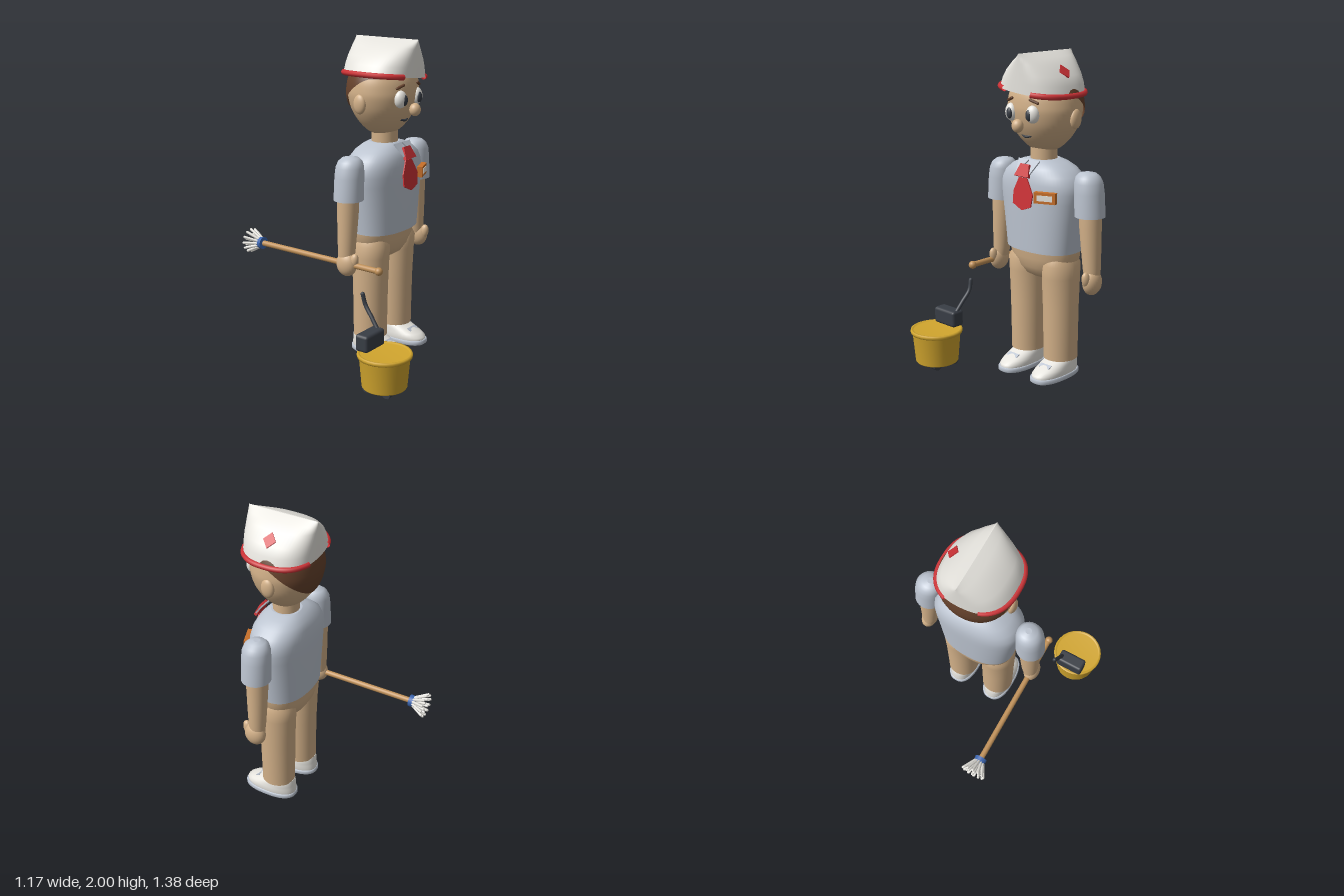
import * as THREE from 'three';
import { RoundedBoxGeometry } from 'three/addons/geometries/RoundedBoxGeometry.js';

const mat = (name, color, side = THREE.FrontSide) => {
  const m = new THREE.MeshStandardMaterial({ color, side });
  m.name = name;
  return m;
};
const V = (x, y, z) => new THREE.Vector3(x, y, z);
const CX = 0.135, CZ = 0.107; // body axis

// Point on a superellipse
function superPoint(a, rx, rz, n) {
  const f = (v) => Math.sign(v) * Math.pow(Math.abs(v), 2 / n);
  return [rx * f(Math.cos(a)), rz * f(Math.sin(a))];
}

// Closed loft through horizontal rings [y, cx, cz, rx, rz], bottom to top
function loft(rings, n = 2, seg = 40) {
  const pos = [], idx = [];
  const addRing = ([y, cx, cz, rx, rz]) => {
    const start = pos.length / 3;
    for (let i = 0; i < seg; i++) {
      const [x, z] = superPoint((i / seg) * Math.PI * 2, rx, rz, n);
      pos.push(cx + x, y, cz + z);
    }
    return start;
  };
  const starts = rings.map(addRing);
  for (let j = 0; j < rings.length - 1; j++) for (let i = 0; i < seg; i++) {
    const k = (i + 1) % seg, a = starts[j], c = starts[j + 1];
    idx.push(a + i, c + i, a + k, a + k, c + i, c + k);
  }
  [rings[0], rings[rings.length - 1]].forEach((r, top) => {
    const s = addRing(r), m = pos.length / 3;
    pos.push(r[1], r[0], r[2]);
    for (let i = 0; i < seg; i++) {
      const k = (i + 1) % seg;
      if (top) idx.push(m, s + k, s + i); else idx.push(m, s + i, s + k);
    }
  });
  const g = new THREE.BufferGeometry();
  g.setAttribute('position', new THREE.Float32BufferAttribute(pos, 3));
  g.setIndex(idx);
  g.computeVertexNormals();
  return g;
}

const plate = (pts, depth = 0.008) => new THREE.ExtrudeGeometry(
  new THREE.Shape(pts.map(([x, y]) => new THREE.Vector2(x, y))), { depth, bevelEnabled: false });

export function createModel() {
  const skin = mat('tan', 0xd2b088), white = mat('white', 0xe6e4de);
  const shirt = mat('pale blue grey', 0xbcc4d0), red = mat('red', 0xcc3236, THREE.DoubleSide);
  const hairMat = mat('brown', 0x66422c, THREE.DoubleSide), dark = mat('charcoal', 0x383d45);
  const yellow = mat('yellow', 0xd2a62e), wood = mat('wood', 0xbf9058);
  const blue = mat('blue', 0x3c66b0), orange = mat('orange', 0xc8702a);

  const model = new THREE.Group();
  const add = (name, geo, material, p = [0, 0, 0], r = [0, 0, 0], parent = model) => {
    const m = new THREE.Mesh(geo, material);
    m.name = name;
    m.position.set(...p);
    m.rotation.set(...r);
    parent.add(m);
    return m;
  };
  const ball = (name, material, p, s, r) => {
    const m = add(name, new THREE.SphereGeometry(1, 28, 20), material, p, r);
    m.scale.set(...s);
    return m;
  };

  // Torso, pelvis and neck
  add('shirt', loft([[0.81, 0.25, 0.168], [0.83, 0.252, 0.169], [1.0, 0.272, 0.174], [1.12, 0.289, 0.177],
    [1.18, 0.294, 0.177], [1.23, 0.29, 0.174], [1.28, 0.262, 0.165], [1.32, 0.212, 0.145], [1.35, 0.15, 0.115],
    [1.365, 0.09, 0.09]].map(([y, rx, rz]) => [y, CX, CZ, rx, rz]), 2.4, 56), shirt);
  add('pelvis', loft([[0.622, 0.03, 0.03], [0.628, 0.09, 0.07], [0.65, 0.15, 0.105], [0.7, 0.205, 0.135],
    [0.76, 0.24, 0.15], [0.83, 0.246, 0.158]].map(([y, rx, rz]) => [y, CX, 0.098, rx, rz]), 2.2), skin);
  add('neck', new THREE.CylinderGeometry(0.082, 0.082, 0.14, 32), skin, [CX, 1.39, 0.11]);

  // Limbs, mirrored
  for (const s of [-1, 1]) {
    const side = s < 0 ? 'right' : 'left', at = (o) => CX + s * o;
    add(side + 'Leg', loft([[0.125, 0.104, 0.108], [0.16, 0.104, 0.108], [0.45, 0.109, 0.112], [0.65, 0.113, 0.122],
      [0.73, 0.112, 0.13], [0.79, 0.08, 0.1]].map(([y, rx, rz]) => [y, at(0.137), 0.106, rx, rz])), skin);
    add(side + 'Sole', loft([[0.008, 0.09, 0.176], [0.014, 0.097, 0.183], [0.034, 0.097, 0.183], [0.038, 0.09, 0.176]]
      .map(([y, rx, rz]) => [y, at(0.137), 0.162, rx, rz]), 2.5), shirt);
    add(side + 'Shoe', loft([[0.036, 0.16, 0.088, 0.175], [0.055, 0.16, 0.091, 0.176], [0.075, 0.147, 0.088, 0.16],
      [0.095, 0.125, 0.085, 0.136], [0.115, 0.104, 0.082, 0.112], [0.132, 0.092, 0.074, 0.095]]
      .map(([y, cz, rx, rz]) => [y, at(0.137), cz, rx, rz]), 2.3), white);
    add(side + 'ShoeStrap', new THREE.BoxGeometry(0.085, 0.012, 0.03), shirt, [at(0.137), 0.094, 0.247], [0.55, 0, 0]);
    add(side + 'Sleeve', loft([[1.06, 0.362, 0.092, 0.091], [1.08, 0.361, 0.092, 0.091], [1.2, 0.355, 0.09, 0.09],
      [1.26, 0.35, 0.086, 0.086], [1.295, 0.345, 0.074, 0.074], [1.315, 0.342, 0.052, 0.052], [1.323, 0.34, 0.02, 0.02]]
      .map(([y, o, rx, rz]) => [y, at(o), 0.105, rx, rz])), shirt);
    add(side + 'Forearm', loft([[0.68, 0.38, 0.045, 0.05], [0.74, 0.376, 0.054, 0.054], [0.85, 0.37, 0.06, 0.06],
      [1.0, 0.362, 0.068, 0.066], [1.1, 0.36, 0.068, 0.066]]
      .map(([y, o, rx, rz]) => [y, at(o), 0.1, rx, rz])), skin);
    ball(side + 'Hand', skin, [at(0.389), 0.66, 0.11], [0.05, 0.077, 0.07]);
    ball(side + 'Thumb', skin, [at(0.387), 0.685, 0.163], [0.025, 0.05, 0.03], [0.25, 0, 0]);
  }

  // Head: egg-shaped lathe flattened front to back
  const headPts = [[0, 1.405], [0.05, 1.41], [0.1, 1.432], [0.145, 1.47], [0.185, 1.52], [0.217, 1.58],
    [0.235, 1.65], [0.235, 1.7], [0.223, 1.76], [0.19, 1.82], [0.13, 1.86], [0, 1.88]];
  const headShape = new THREE.SplineCurve(headPts.map(([x, y]) => new THREE.Vector2(x, y))).getPoints(44);
  headShape.forEach((p) => { p.x = Math.max(0, p.x); });
  add('head', new THREE.LatheGeometry(headShape, 48), skin, [CX, 0, 0.1]).scale.z = 0.89;
  const headR = (y) => {
    const i = Math.max(1, headShape.findIndex((p) => p.y >= y));
    const a = headShape[i - 1], b = headShape[i];
    return a.x + (b.x - a.x) * (y - a.y) / (b.y - a.y);
  };

  // Hair: shell over the head whose lower edge drops towards the nape
  const hair = new THREE.PlaneGeometry(1, 1, 56, 12), hp = hair.attributes.position;
  for (let i = 0; i < hp.count; i++) {
    const a = (hp.getX(i) + 0.5) * Math.PI * 2, back = Math.max(0, 0.3 - Math.cos(a)) / 1.3;
    const low = 1.775 - 0.235 * Math.pow(back, 1.6);
    const y = low + (1.8 - low) * (hp.getY(i) + 0.5), r = headR(y) + 0.01;
    hp.setXYZ(i, CX + r * Math.sin(a), y, 0.1 + r * 0.9 * Math.cos(a));
  }
  hair.computeVertexNormals();
  add('hair', hair, hairMat);

  // Face
  ball('nose', skin, [CX - 0.002, 1.582, 0.335], [0.036, 0.04, 0.035]);
  for (const s of [-1, 1]) {
    const side = s < 0 ? 'right' : 'left';
    ball(side + 'Ear', skin, [CX + s * 0.232, 1.62, 0.09], [0.025, 0.06, 0.043]);
    ball(side + 'Eye', white, [CX - 0.008 + s * 0.087, 1.652, 0.292], [0.042, 0.053, 0.034], [0, s * 0.3, 0]);
    ball(side + 'Iris', dark, [CX - 0.008 + s * 0.078, 1.648, 0.315], [0.022, 0.034, 0.018], [0, s * 0.25, 0]);
    add(side + 'Eyebrow', new THREE.CapsuleGeometry(0.009, 0.05, 4, 10), hairMat,
      [CX - 0.005 + s * 0.095, 1.728, 0.294], [0, s * 0.35, Math.PI / 2 - s * 0.35]);
  }
  const mouthZ = 0.1 + headR(1.515) * 0.89;
  add('mouth', new THREE.TubeGeometry(new THREE.CatmullRomCurve3([V(-0.037, 0.004, -0.008), V(0, -0.004, 0.003),
    V(0.037, 0.004, -0.008)]), 14, 0.007, 8), dark, [CX - 0.003, 1.513, mouthZ]);

  // Tilted cap rising to a front-to-back ridge
  const cap = new THREE.Group();
  cap.name = 'cap';
  cap.position.set(0.125, 1.775, 0.112);
  cap.rotation.z = -0.1;
  model.add(cap);
  add('capBody', loft([[0, 0.241], [0.06, 0.218], [0.11, 0.184], [0.17, 0.115], [0.2, 0.062], [0.226, 0.003]]
    .map(([y, rx]) => [y, 0, 0, rx, 0.231]), 2.5, 64), white, [0, 0, 0], [0, 0, 0], cap);
  for (const s of [-1, 1]) {
    const pts = [];
    for (let i = 0; i <= 24; i++) {
      const [x, z] = superPoint((-1 + i / 12) * 1.2, 0.24, 0.228, 2.5);
      pts.push(V(s * x, 0.004, z));
    }
    add(s < 0 ? 'rightBand' : 'leftBand', new THREE.TubeGeometry(new THREE.CatmullRomCurve3(pts), 48, 0.017, 8), red,
      [0, 0, 0], [0, 0, 0], cap);
  }
  add('capDiamond', new THREE.CylinderGeometry(0.042, 0.042, 0.008, 4), red, [0.16, 0.134, 0], [0, 0, -0.71], cap)
    .scale.x = 1.15;

  // Collar, tie and name badge
  for (const s of [-1, 1]) {
    const pts = [[0, 0.045], [s * 0.085, 0.045], [s * 0.055, -0.05]];
    add('collarFlap', plate(s > 0 ? pts.reverse() : pts), shirt, [CX, 1.33, 0.262], [-0.65, 0, 0]);
  }
  add('tieKnot', plate([[-0.034, -0.04], [0.034, -0.04], [0.056, 0.038], [-0.056, 0.038]].map(([x, y]) => [x, -y]), 0.02),
    red, [CX, 1.305, 0.278], [-0.45, 0, 0]);
  add('tieBlade', plate([[-0.033, 0.1], [-0.07, 0.015], [-0.07, -0.06], [0.006, -0.095], [0.075, -0.068],
    [0.085, 0.005], [0.03, 0.1]].reverse()), red, [CX, 1.168, 0.297], [-0.1, 0, 0]);
  const badge = new THREE.Group();
  badge.name = 'badge';
  badge.position.set(0.302, 1.168, 0.28);
  badge.rotation.y = 0.38;
  model.add(badge);
  add('badgeFrame', new THREE.BoxGeometry(0.135, 0.066, 0.035), orange, [0, 0, 0], [0, 0, 0], badge);
  add('badgePlate', new THREE.BoxGeometry(0.098, 0.034, 0.006), white, [0, 0, 0.017], [0, 0, 0], badge);

  // Mop held level in the right hand
  const mop = new THREE.Group();
  mop.name = 'mop';
  mop.position.set(-0.253, 0.66, 0);
  model.add(mop);
  const lie = [Math.PI / 2, 0, 0];
  add('mopHandle', new THREE.CylinderGeometry(0.018, 0.018, 0.92, 20), wood, [0, 0, -0.11], lie, mop);
  add('mopKnob', new THREE.SphereGeometry(0.025, 20, 14), wood, [0, 0, 0.35], [0, 0, 0], mop);
  add('mopCollar', new THREE.CylinderGeometry(0.04, 0.034, 0.045, 24), blue, [0, 0, -0.594], lie, mop);
  [[1, 0], [7, 0.045], [12, 0.073]].forEach(([count, spread]) => {
    for (let i = 0; i < count; i++) {
      const a = (i / count) * Math.PI * 2, c = Math.cos(a), d = Math.sin(a), k = spread * 0.4;
      const path = new THREE.LineCurve3(V(c * k, d * k, -0.6), V(c * spread, d * spread, -0.69 + spread * 0.15));
      add('mopStrand', new THREE.TubeGeometry(path, 1, 0.009, 8), white, [0, 0, 0], [0, 0, 0], mop);
      add('mopStrandTip', new THREE.SphereGeometry(0.009, 8, 6), white, path.v2.toArray(), [0, 0, 0], mop);
    }
  });

  // Bucket with wringer, handle and casters
  const bucket = new THREE.Group();
  bucket.name = 'bucket';
  bucket.position.set(-0.42, 0, 0.517);
  model.add(bucket);
  add('bucketBody', new THREE.LatheGeometry([[0, 0.028], [0.132, 0.028], [0.136, 0.034], [0.152, 0.215], [0.163, 0.22],
    [0.166, 0.232], [0.163, 0.243], [0.15, 0.243], [0.146, 0.234], [0, 0.234]]
    .map(([x, y]) => new THREE.Vector2(x, y)), 28), yellow, [0, 0, 0], [0, 0, 0], bucket);
  add('wringer', new RoundedBoxGeometry(0.185, 0.105, 0.09, 2, 0.018), dark, [0, 0.297, -0.107], [0, 0, 0], bucket);
  add('wringerHandle', new THREE.TubeGeometry(new THREE.CatmullRomCurve3([V(0.07, 0.33, -0.1), V(0.08, 0.4, -0.155),
    V(0.088, 0.465, -0.207), V(0.085, 0.53, -0.225)]), 20, 0.013, 10), dark, [0, 0, 0], [0, 0, 0], bucket);
  add('wringerHandleEnd', new THREE.SphereGeometry(0.013, 10, 8), dark, [0.085, 0.53, -0.225], [0, 0, 0], bucket);
  for (const x of [-0.072, 0.072]) for (const z of [-0.072, 0.072])
    add('caster', new THREE.CylinderGeometry(0.03, 0.03, 0.036, 16), dark, [x, 0.03, z], [0, 0, Math.PI / 2], bucket);

  return model;
}
